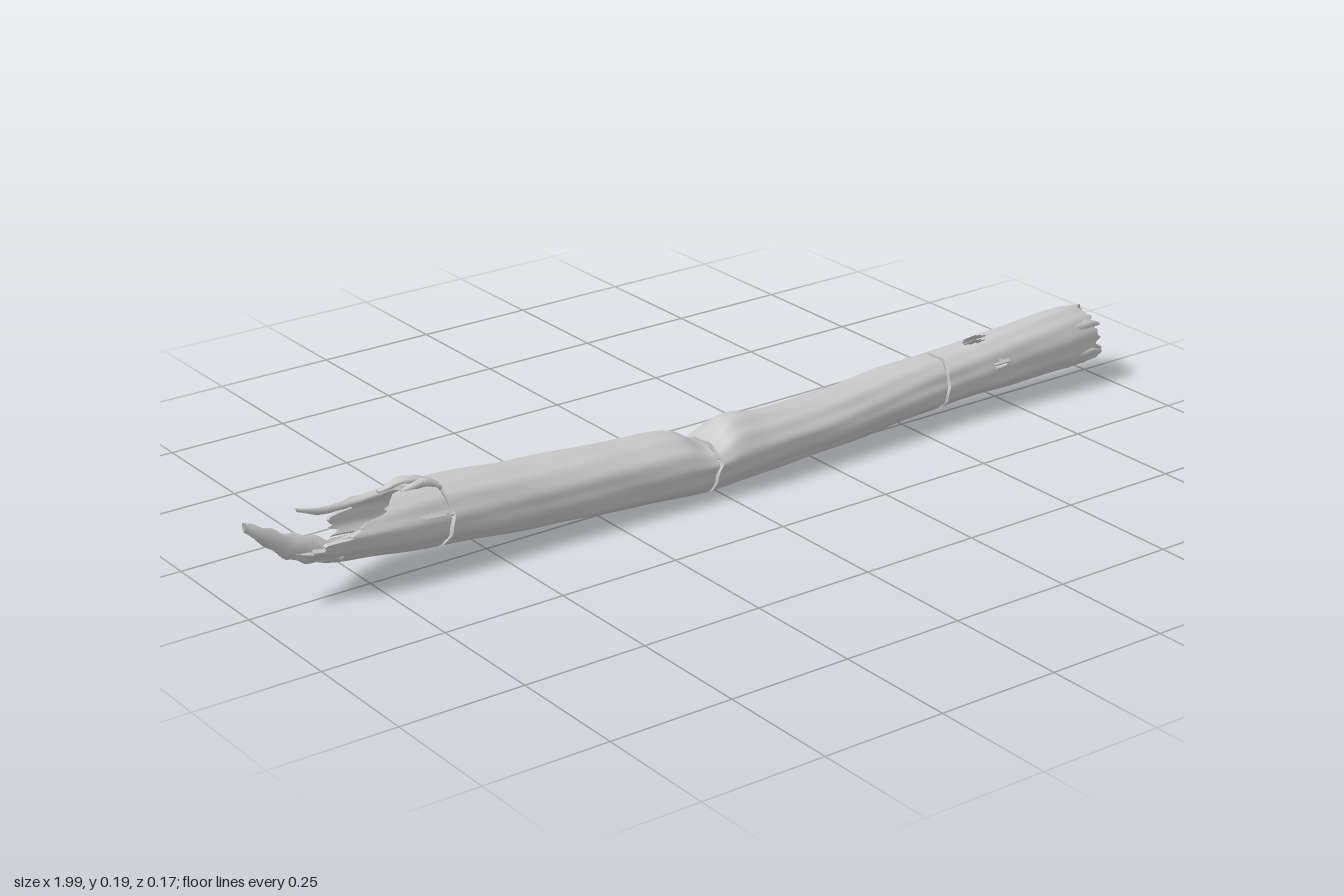
import * as THREE from 'three';

const TAU = Math.PI * 2, DEG = Math.PI / 180;
const lerp = THREE.MathUtils.lerp;

// Trunk outline along x: [x, top, bottom, back z, front z]
const outline = [
  [-0.95, 0.17, 0.118, -0.04, 0.02],
  [-0.85, 0.165, 0.074, -0.066, 0.042],
  [-0.75, 0.165, 0.057, -0.08, 0.054],
  [-0.6, 0.167, 0.038, -0.086, 0.062],
  [-0.4, 0.151, 0.02, -0.081, 0.068],
  [-0.2, 0.141, 0.008, -0.074, 0.076],
  [-0.08, 0.133, 0.004, -0.062, 0.081],
  [-0.02, 0.106, 0.003, -0.055, 0.084],
  [0.04, 0.139, 0.005, -0.052, 0.085],
  [0.12, 0.13, 0.009, -0.052, 0.084],
  [0.3, 0.127, 0.013, -0.053, 0.08],
  [0.5, 0.136, 0.022, -0.059, 0.068],
  [0.6, 0.141, 0.028, -0.053, 0.067],
  [0.75, 0.155, 0.034, -0.043, 0.073],
  [0.9, 0.166, 0.038, -0.037, 0.076],
  [1.0, 0.16, 0.042, -0.034, 0.07],
];

// Smooth (Hermite) lookup of column c in a table sorted by column 0
function sample(table, x, c) {
  const n = table.length - 1;
  let i = 0;
  while (i < n - 1 && x > table[i + 1][0]) i++;
  const slope = (k) => {
    const a = table[Math.max(k - 1, 0)], b = table[Math.min(k + 1, n)];
    return (b[c] - a[c]) / (b[0] - a[0]);
  };
  const h = table[i + 1][0] - table[i][0];
  const t = THREE.MathUtils.clamp((x - table[i][0]) / h, 0, 1), s = 1 - t;
  return table[i][c] * (1 + 2 * t) * s * s + table[i + 1][c] * t * t * (3 - 2 * t)
    + h * (slope(i) * t * s * s - slope(i + 1) * t * t * s);
}

// Broken ends: x of the edge for every 45 degrees (front, top, back, bottom)
const cut = (values, jag) => (th) => {
  const p = (((th / TAU) % 1) + 1) % 1 * 8, i = Math.floor(p);
  return lerp(values[i % 8], values[(i + 1) % 8], p - i)
    + jag * (Math.sin(th * 9) + 0.7 * Math.sin(th * 17 + 1) + 0.5 * Math.sin(th * 26));
};
const leftEnd = cut([-0.83, -0.745, -0.66, -0.67, -0.785, -0.79, -0.885, -0.9], 0.009);
const rightEnd = cut([0.967, 0.955, 0.95, 0.962, 0.98, 0.98, 0.98, 0.987], 0.006);
const crack = (x, side) => (th) => x + side * 0.004
  + 0.004 * Math.sin(th * 2 + x * 9) + 0.0015 * Math.sin(th * 7);

// Knot holes: [x, angle in degrees, half length, half angle in degrees]
const holes = [
  [0.71, 16, 0.021, 11], [0.68, 92, 0.027, 13], [0.6, 142, 0.02, 11],
  [0.92, 118, 0.012, 8], [-0.64, 20, 0.03, 7],
];
const inHole = (x, th) => holes.some(([hx, ha, rx, ra]) => {
  const d = ((th / DEG - ha + 540) % 360 + 360) % 360 - 180;
  return ((x - hx) / rx) ** 2 + (d / ra) ** 2 < 1;
});

// Point on the bark, moved inward by depth
function barkPoint(x, th, t, depth) {
  const top = sample(outline, x, 1), bottom = sample(outline, x, 2);
  const back = sample(outline, x, 3), front = sample(outline, x, 4);
  const cy = bottom + 0.48 * (0.03 + 0.75 * (front - back)), cz = (front + back) / 2;
  const s = Math.sin(th), c = Math.cos(th);
  const grain = 0.0014 * Math.sin(th * 5 + x * 6) + 0.001 * Math.sin(th * 11 - x * 9)
    + 0.0009 * Math.sin(x * 31 + th * 3) - 0.001;
  const lip = 0.004 * Math.exp(-t * 14);
  const d = grain + lip - depth;
  const ry = s > 0 ? top - cy : cy - bottom;
  return [x, cy + s * (ry + d), cz + c * ((front - back) / 2 + d)];
}

// Hollow bark section between two edge curves, split along one seam
function barkShell(start, end, rows) {
  const cols = 64, pos = [], index = [], thick = 0.009;
  const stride = cols + 1, layer = (rows + 1) * stride, spots = [];
  for (const depth of [0, thick])
    for (let i = 0; i <= rows; i++)
      for (let j = 0; j <= cols; j++) {
        const t = j / cols, base = 222 * DEG + 0.03 + t * (TAU - 0.06);
        const x = lerp(start(base), end(base), i / rows);
        const th = base + 0.07 * Math.sin(x * 8) + 0.03 * Math.sin(x * 27);
        pos.push(...barkPoint(x, th, t, depth));
        if (depth === 0) spots.push([x, th]);
      }
  const quad = (a, b, c, d) => index.push(a, b, c, a, c, d);
  for (let i = 0; i < rows; i++)
    for (let j = 0; j < cols; j++) {
      const a = i * stride + j, b = a + stride, c = b + 1, d = a + 1;
      if (inHole((spots[a][0] + spots[c][0]) / 2, (spots[a][1] + spots[c][1]) / 2)) continue;
      quad(a, b, c, d);
      quad(a + layer, d + layer, c + layer, b + layer);
    }
  // Rims have their own vertices so that the edges stay sharp
  const rim = (a, b) => {
    const k = pos.length / 3;
    for (const v of [a, a + layer, b + layer, b]) pos.push(pos[v * 3], pos[v * 3 + 1], pos[v * 3 + 2]);
    quad(k, k + 1, k + 2, k + 3);
  };
  for (let j = 0; j < cols; j++) {
    rim(rows * stride + j, rows * stride + j + 1);
    rim(j + 1, j);
  }
  for (let i = 0; i < rows; i++) {
    rim(i * stride, (i + 1) * stride);
    rim((i + 1) * stride + cols, i * stride + cols);
  }
  return makeGeometry(pos, index);
}

function makeGeometry(pos, index) {
  const g = new THREE.BufferGeometry();
  g.setAttribute('position', new THREE.Float32BufferAttribute(pos, 3));
  g.setIndex(index);
  g.computeVertexNormals();
  return g;
}

// Splinter lofted through sections [x, y, z, half height, half depth], in rising x
function splinter(sections) {
  const pos = [], index = [], sides = 8, rows = sections.length * 4;
  const first = sections[0][0], last = sections[sections.length - 1][0];
  for (let i = 0; i <= rows; i++) {
    const x = lerp(first, last, i / rows);
    const [y, z, ry, rz] = [1, 2, 3, 4].map((c) => sample(sections, x, c));
    for (let j = 0; j < sides; j++) {
      const th = j / sides * TAU, r = 1 + 0.12 * Math.sin(x * 150 + j * 2.4);
      pos.push(x, y + Math.sin(th) * ry * r, z + Math.cos(th) * rz * r);
    }
  }
  for (let i = 0; i < rows; i++)
    for (let j = 0; j < sides; j++) {
      const a = i * sides + j, d = i * sides + (j + 1) % sides;
      index.push(a, a + sides, d + sides, a, d + sides, d);
    }
  for (let j = 1; j < sides - 1; j++) {
    const e = rows * sides;
    index.push(0, j, j + 1, e, e + j + 1, e + j);
    index.splice(-6, 3, 0, j + 1, j);
    index.splice(-3, 3, e, e + j, e + j + 1);
  }
  return makeGeometry(pos, index);
}

export function createModel() {
  const model = new THREE.Group();
  model.name = 'hollowLog';
  const wood = new THREE.MeshStandardMaterial({ color: 0xc8c8c8, side: THREE.DoubleSide });
  wood.name = 'pale grey wood';
  const add = (name, geometry) => {
    const mesh = new THREE.Mesh(geometry, wood);
    mesh.name = name;
    model.add(mesh);
  };

  // Four trunk sections with narrow cracks between them
  add('brokenSection', barkShell(leftEnd, crack(-0.61, -1), 36));
  add('leftMiddleSection', barkShell(crack(-0.61, 1), crack(-0.02, -1), 74));
  add('rightMiddleSection', barkShell(crack(-0.02, 1), crack(0.57, -1), 74));
  add('rightSection', barkShell(crack(0.57, 1), rightEnd, 54));

  // Long pointed splinter at the broken end
  add('tipSplinter', splinter([
    [-1, 0.182, 0.0, 0.009, 0.005], [-0.965, 0.157, 0.002, 0.018, 0.012],
    [-0.92, 0.125, 0.0, 0.025, 0.017], [-0.87, 0.106, 0.004, 0.027, 0.018],
    [-0.82, 0.09, 0.012, 0.018, 0.018]]));

  // Thin slivers and upturned flakes around the break
  const flakes = [
    [[-0.88, 0.174, -0.024, 0.003, 0.003], [-0.83, 0.157, -0.03, 0.007, 0.006], [-0.75, 0.149, -0.045, 0.006, 0.01], [-0.64, 0.155, -0.05, 0.006, 0.014]],
    [[-0.71, 0.162, -0.03, 0.003, 0.004], [-0.66, 0.176, -0.022, 0.006, 0.014], [-0.6, 0.162, -0.012, 0.006, 0.014]],
    [[-0.68, 0.165, 0.0, 0.003, 0.004], [-0.63, 0.173, 0.004, 0.009, 0.01], [-0.6, 0.158, 0.01, 0.006, 0.01]],
    [[-0.79, 0.13, -0.082, 0.004, 0.003], [-0.73, 0.128, -0.083, 0.012, 0.004], [-0.65, 0.125, -0.082, 0.014, 0.004]],
    [[-0.84, 0.112, 0.02, 0.003, 0.003], [-0.77, 0.122, 0.025, 0.007, 0.008], [-0.68, 0.14, 0.028, 0.007, 0.012]],
  ];
  flakes.forEach((sections, i) => add('breakFlake' + (i + 1), splinter(sections)));

  // Ragged shards inside the right end
  for (const [y, z, size] of [[0.055, 0.045, 0.012], [0.075, 0.065, 0.01], [0.13, 0.055, 0.012], [0.145, 0.0, 0.011], [0.06, -0.012, 0.01]])
    add('endShard', splinter([
      [0.9, y, z, size, size * 0.7], [0.95, y + 0.003, z, size * 0.9, size], [0.985, y - 0.004, z - 0.004, 0.003, 0.004]]));

  return model;
}
